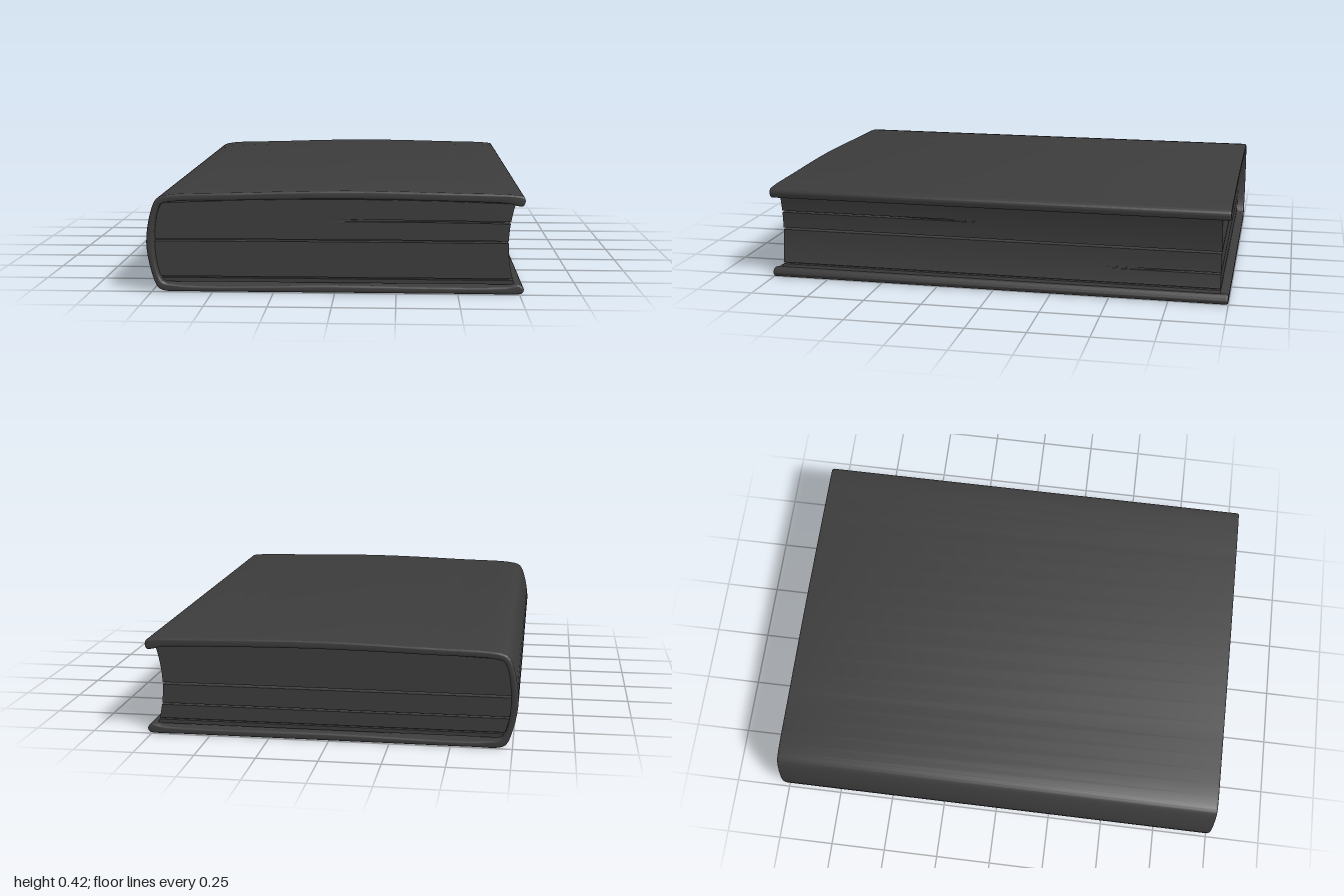
import * as THREE from 'three';
import { toCreasedNormals } from 'three/addons/utils/BufferGeometryUtils.js';

const material = new THREE.MeshStandardMaterial({ color: 0x3c3c3c });

// Case binding: one C-shaped profile (boards + rounded spine) swept along z
function makeCover() {
  const outline = [
    [0.74, 0], [0.6, 0], [0, 0], [-0.6, 0], [-0.69, 0.001], [-0.722, 0.013], [-0.745, 0.06],
    [-0.77, 0.2], [-0.748, 0.335], [-0.725, 0.382], [-0.69, 0.397], [-0.4, 0.409],
    [0.05, 0.42], [0.5, 0.413], [0.735, 0.406], [0.76, 0.4], [0.767, 0.38], [0.757, 0.361],
    [0.733, 0.363], [0.7, 0.371], [0.45, 0.38], [0.05, 0.386], [-0.4, 0.378], [-0.68, 0.368],
    [-0.712, 0.355], [-0.74, 0.2], [-0.712, 0.05], [-0.68, 0.033], [0, 0.031], [0.69, 0.031],
    [0.725, 0.038], [0.752, 0.039], [0.767, 0.021], [0.76, 0.004],
  ].map(([x, y]) => new THREE.Vector3(x, y, 0));
  const curve = new THREE.CatmullRomCurve3(outline, true);
  const points = curve.getPoints(outline.length * 5).slice(0, -1);
  const shape = new THREE.Shape(points.map((p) => new THREE.Vector2(p.x, p.y)));
  const bevel = 0.009;
  const geometry = new THREE.ExtrudeGeometry(shape, {
    depth: 2 - 2 * bevel, bevelEnabled: true, bevelThickness: bevel,
    bevelSize: bevel, bevelOffset: -bevel, bevelSegments: 3,
  });
  geometry.translate(0, 0, -1 + bevel);
  return new THREE.Mesh(toCreasedNormals(geometry, 0.7), material);
}

// Slits between page bundles: height t (0..1), half width, and depth by position
const { smoothstep } = THREE.MathUtils;
const slits = [
  { t: 0.06, w: 0.010, depth: () => 0.015 },
  { t: 0.26, w: 0.012, depth: (x, z) => 0.025 * smoothstep(-z, 0.5, 0.9) },
  { t: 0.53, w: 0.014, depth: () => 0.03 },
  { t: 0.77, w: 0.012, depth: (x, z) => 0.025 * smoothstep(z, 0.05, 0.5) * smoothstep(x, 0, 0.4) },
];

// Page block: stacked rings with a hollow fore edge, a round back and an arched top
function makePages() {
  const N = 32, M = 32, halfZ = 0.965;
  const rows = [];
  for (let i = 0; i <= 20; i++) {
    const t = i / 20;
    if (!slits.some((s) => Math.abs(s.t - t) <= s.w * 1.2)) rows.push({ t });
  }
  for (const slit of slits) {
    for (const k of [-1, -0.8, 0.8, 1]) {
      rows.push({ t: slit.t + k * slit.w, slit: Math.abs(k) < 1 ? slit : null });
    }
  }
  rows.sort((a, b) => a.t - b.t);

  const positions = [], indices = [];
  const P = 2 * (N + 1) + M - 1;
  for (const { t, slit } of rows) {
    const bulge = 4 * t * (1 - t);
    const left = -0.72 - 0.03 * bulge, right = 0.73 - 0.025 * bulge;
    const put = (x, z, inX, inZ) => {
      const d = slit ? slit.depth(x, z) : 0;
      const arch = 0.018 * (1 - ((x - 0.05) / 0.75) ** 2);
      positions.push(x - inX * d, 0.035 + 0.327 * t + arch * t ** 4, z * (1 - inZ * d / halfZ));
    };
    const along = (i) => left + (right - left) * i / N;
    for (let i = 0; i <= N; i++) put(along(i), halfZ, i === N ? 1 : 0, 1);
    for (let j = 1; j < M; j++) put(right, halfZ * (1 - 2 * j / M), 1, 1);
    for (let i = N; i >= 0; i--) put(along(i), -halfZ, i === N ? 1 : 0, 1);
  }
  const quad = (a, b, c, d) => indices.push(a, b, c, a, c, d);
  for (let r = 0; r < rows.length - 1; r++) {
    for (let i = 0; i < P; i++) {
      const n = (i + 1) % P;
      quad(r * P + i, r * P + n, (r + 1) * P + n, (r + 1) * P + i);
    }
  }
  // Top and bottom leaves
  const top = (rows.length - 1) * P;
  for (let i = 0; i < N; i++) {
    quad(top + i, top + i + 1, top + P - 2 - i, top + P - 1 - i);
    quad(i, P - 1 - i, P - 2 - i, i + 1);
  }
  const geometry = new THREE.BufferGeometry();
  geometry.setAttribute('position', new THREE.Float32BufferAttribute(positions, 3));
  geometry.setIndex(indices);
  return new THREE.Mesh(toCreasedNormals(geometry, 0.6), material);
}

export function createModel() {
  const book = new THREE.Group();
  book.name = 'book';
  const cover = makeCover();
  cover.name = 'cover';
  const pages = makePages();
  pages.name = 'pages';
  book.add(cover, pages);
  return book;
}
